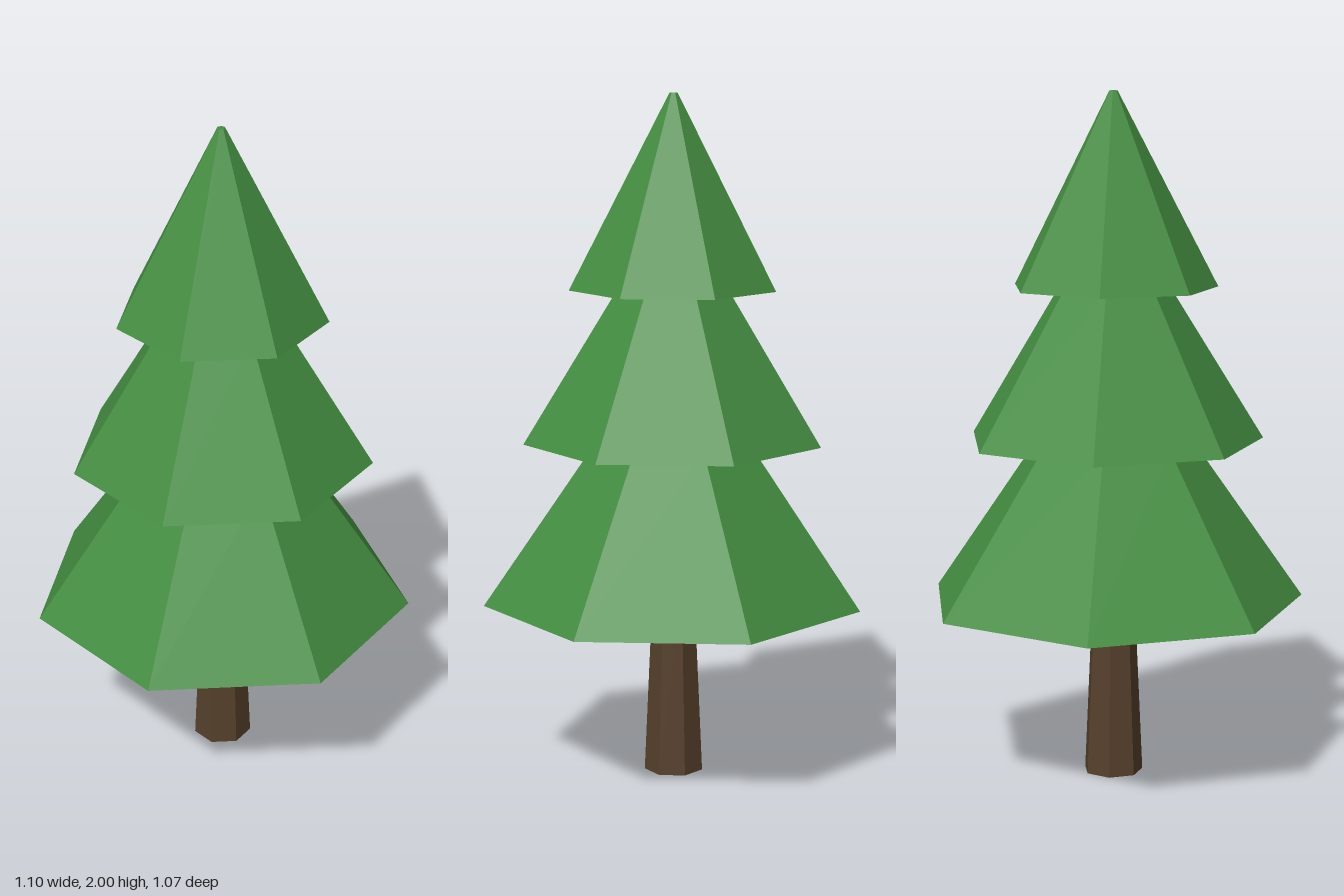
import * as THREE from 'three';

export function createModel() {
  const model = new THREE.Group();
  model.name = 'pineTree';

  const foliage = new THREE.MeshStandardMaterial({ color: 0x448d41 });
  foliage.name = 'foliage green';
  foliage.flatShading = true;
  const bark = new THREE.MeshStandardMaterial({ color: 0x56402c });
  bark.name = 'bark brown';
  bark.flatShading = true;

  // Seven-sided tapered section with one corner pointing backwards
  function section(name, material, rTop, rBottom, yBottom, yTop) {
    const h = yTop - yBottom;
    const geometry = new THREE.CylinderGeometry(rTop, rBottom, h, 7, 1, false, Math.PI);
    const mesh = new THREE.Mesh(geometry, material);
    mesh.name = name;
    // The heptagon's axis sits slightly forward so its depth is centred
    mesh.position.set(0, yBottom + h / 2, 0.027);
    model.add(mesh);
  }

  section('trunk', bark, 0.064, 0.088, 0, 0.525);
  section('lowerBranches', foliage, 0.23, 0.562, 0.52, 0.995);
  section('middleBranches', foliage, 0.165, 0.441, 0.995, 1.44);
  section('topBranches', foliage, 0.012, 0.305, 1.44, 2);

  return model;
}
